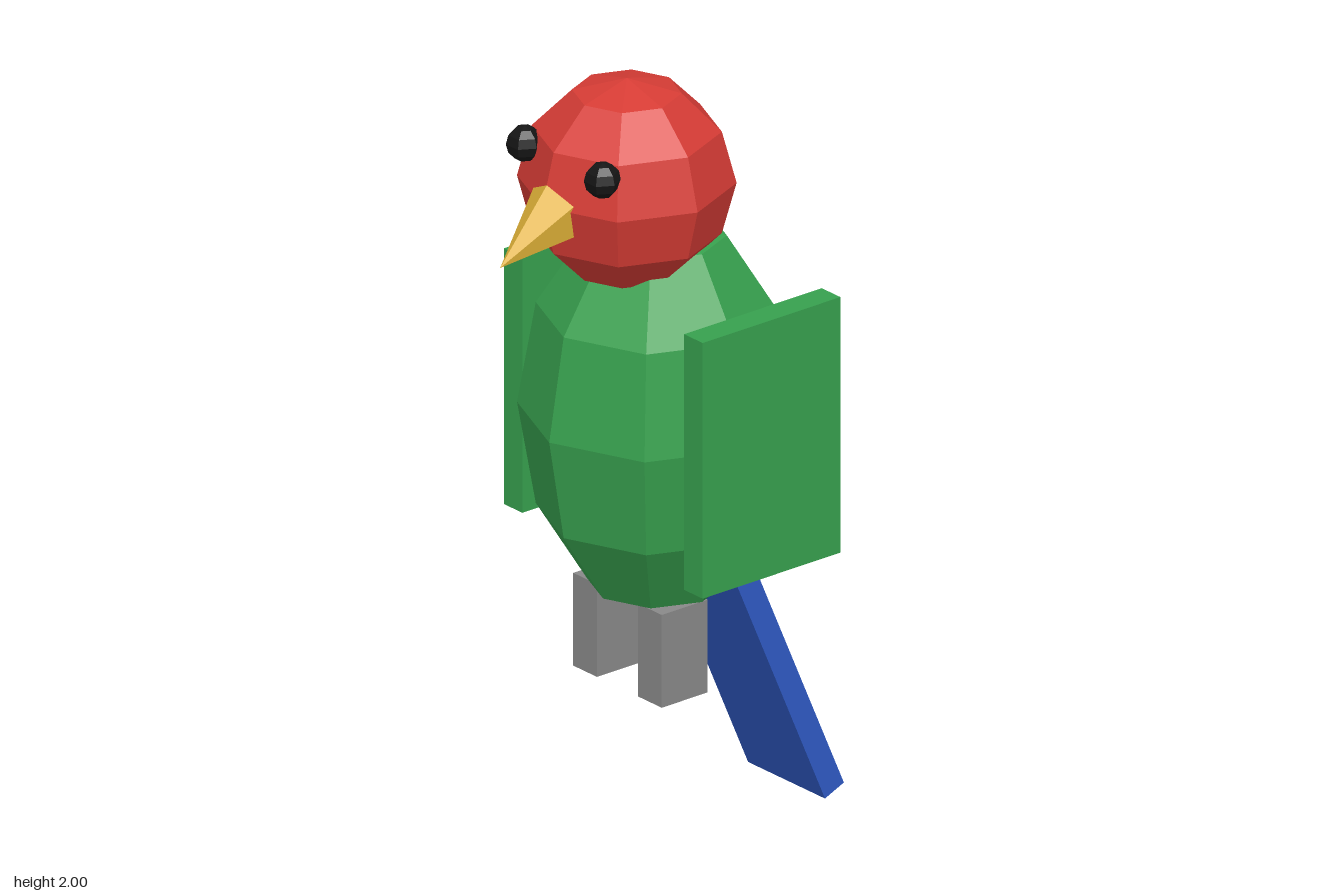
import * as THREE from 'three';

const paint = (color) => new THREE.MeshStandardMaterial({ color, flatShading: true });

export function createModel() {
  const model = new THREE.Group();
  const red = paint(0xd63c35);
  const green = paint(0x37a04e);
  const blue = paint(0x2f5ac4);
  const yellow = paint(0xe0b238);
  const black = paint(0x151515);
  const grey = paint(0x888888);

  const add = (name, geometry, material, x, y, z) => {
    const mesh = new THREE.Mesh(geometry, material);
    mesh.name = name;
    mesh.position.set(x, y, z);
    model.add(mesh);
    return mesh;
  };

  // Egg-shaped body and round head
  const body = add('body', new THREE.SphereGeometry(1, 8, 6), green, 0, 1.105, -0.01);
  body.scale.set(0.34, 0.53, 0.34);
  add('head', new THREE.SphereGeometry(0.267, 8, 6), red, 0, 1.733, 0.085);

  // Six-sided beak pointing forward and down
  const beak = add('beak', new THREE.ConeGeometry(0.09, 0.22, 6), yellow, 0, 1.661, 0.388);
  beak.rotation.x = THREE.MathUtils.degToRad(118);

  // Paired parts
  for (const [side, s] of [['left', 1], ['right', -1]]) {
    add(side + 'Eye', new THREE.SphereGeometry(0.046, 6, 6), black, s * 0.147, 1.835, 0.285);
    add(side + 'Wing', new THREE.BoxGeometry(0.07, 0.675, 0.435), green, s * 0.34, 1.108, -0.058);
    add(side + 'Leg', new THREE.BoxGeometry(0.09, 0.245, 0.145), grey, s * 0.122, 0.523, 0.042);
  }

  // Flat tail slanting down and back
  const tail = add('tail', new THREE.BoxGeometry(0.29, 0.85, 0.065), blue, 0, 0.407, -0.28);
  tail.rotation.x = 0.41;

  return model;
}
